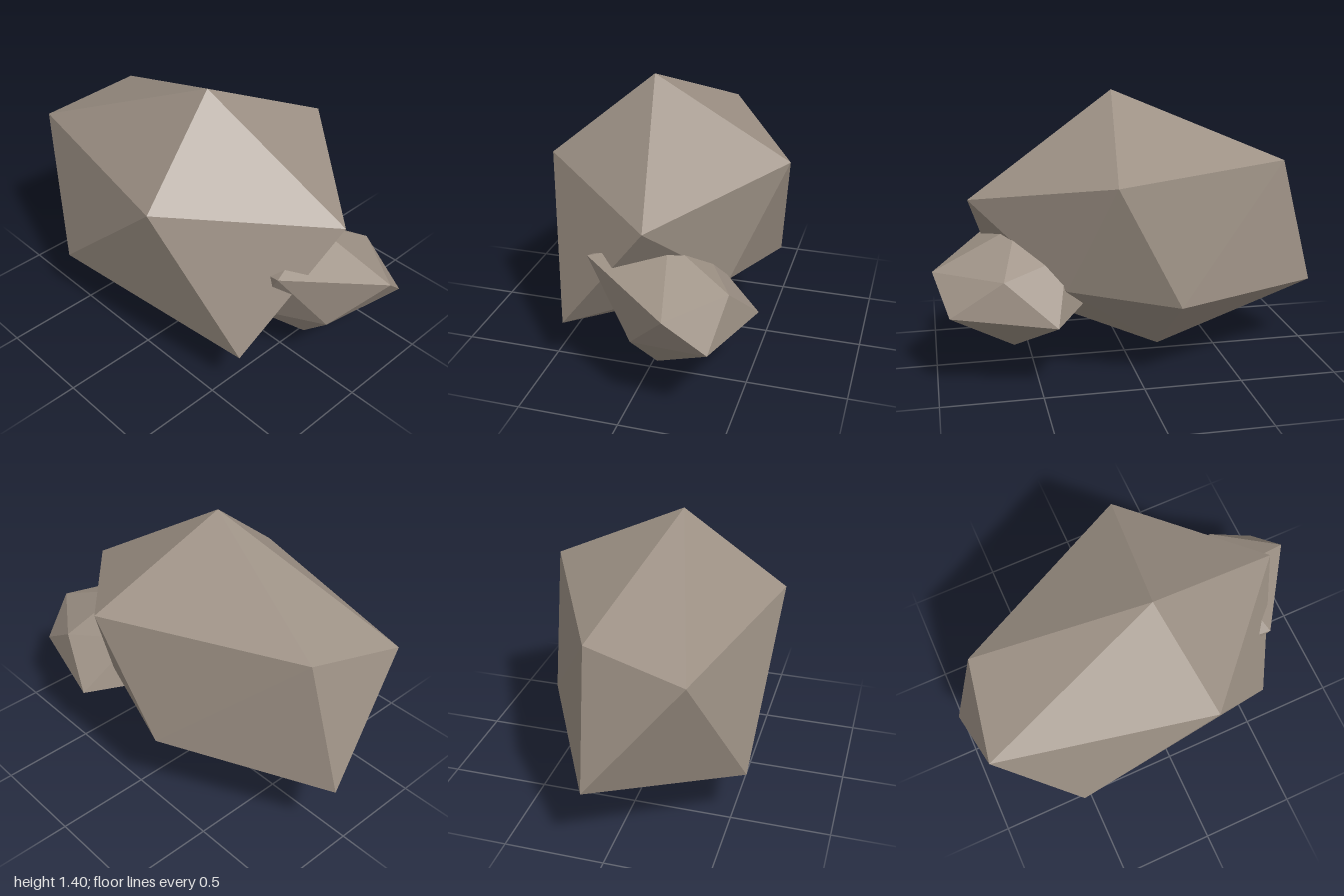
import * as THREE from 'three';

// Twenty-sided boulder: top point, upper ring of 5, lower ring of 5, bottom point.
// Rings run counter-clockwise from above; lower[i] sits between upper[i] and upper[i + 1].
function boulder(name, top, upper, lower, bottom, material) {
  const corners = [];
  for (let i = 0; i < 5; i++) {
    const j = (i + 1) % 5;
    corners.push(
      top, upper[i], upper[j],
      upper[i], lower[i], upper[j],
      lower[i], lower[j], upper[j],
      bottom, lower[j], lower[i]
    );
  }
  const geometry = new THREE.BufferGeometry();
  geometry.setAttribute('position', new THREE.Float32BufferAttribute(corners.flat(), 3));
  geometry.computeVertexNormals();
  const mesh = new THREE.Mesh(geometry, material);
  mesh.name = name;
  return mesh;
}

export function createModel() {
  const stone = new THREE.MeshStandardMaterial({ color: 0x9c9084, flatShading: true });
  stone.name = 'stone';

  const model = new THREE.Group();
  model.name = 'rocks';

  // Large main boulder
  model.add(boulder('largeRock',
    [0.05, 1.405, 0.10],
    [[-0.92, 0.96, 0.37], [0.18, 0.985, 0.61], [0.81, 0.90, -0.07], [0.15, 1.05, -0.61], [-0.82, 1.045, -0.13]],
    [[-0.55, 0.31, 0.58], [0.61, 0.25, 0.42], [0.36, 0.49, -0.37], [-0.18, 0.42, -0.53], [-1.0, 0.375, -0.10]],
    [-0.20, 0, 0.07],
    stone));

  // Small boulder sunk into its side
  model.add(boulder('smallRock',
    [0.58, 0.77, -0.125],
    [[0.68, 0.69, 0.245], [1.0, 0.585, -0.215], [0.67, 0.58, -0.44], [0.34, 0.63, -0.24], [0.21, 0.56, 0.16]],
    [[0.80, 0.33, 0], [0.93, 0.405, -0.405], [0.425, 0.365, -0.535], [0.15, 0.38, -0.03], [0.48, 0.35, 0.20]],
    [0.60, 0.11, -0.07],
    stone));

  return model;
}
